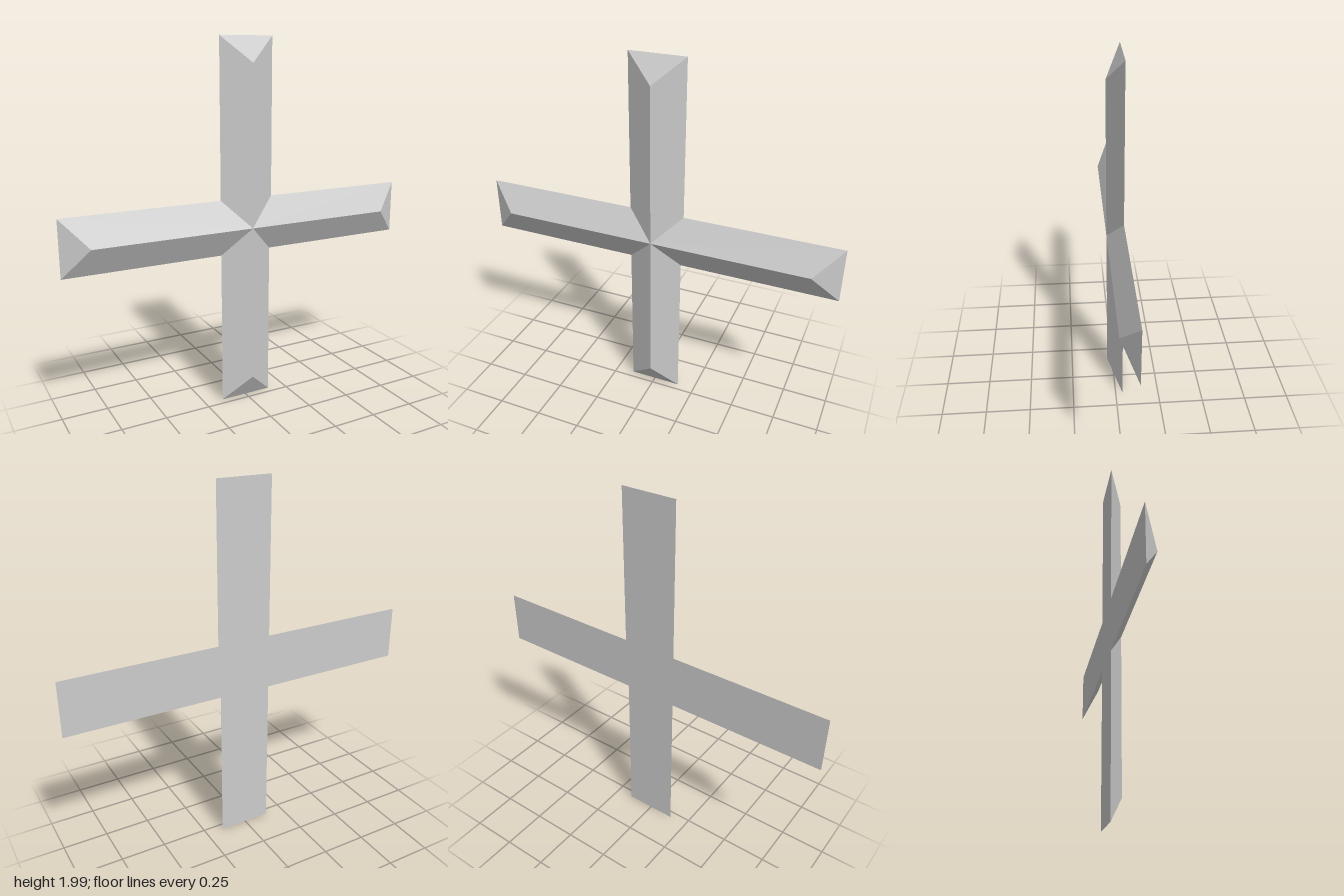
import * as THREE from 'three';

const BACK = -0.04, FRONT = 0.04;

// Flat-faced geometry from convex polygons, each fanned into triangles
function facets(polygons) {
  const points = [];
  for (const p of polygons) {
    for (let i = 1; i < p.length - 1; i++) points.push(...p[0], ...p[i], ...p[i + 1]);
  }
  const geometry = new THREE.BufferGeometry();
  geometry.setAttribute('position', new THREE.Float32BufferAttribute(points, 3));
  geometry.computeVertexNormals();
  return geometry;
}

export function createModel() {
  const group = new THREE.Group();
  group.name = 'bevelledCross';
  const grey = new THREE.MeshStandardMaterial({ color: 0xcccccc });
  grey.name = 'light grey';

  const centre = [0.005, 1, FRONT];

  // Corners where neighbouring arms meet, clockwise from upper left
  const inner = [[-0.145, 1.15], [0.16, 1.15], [0.15, 0.855], [-0.145, 0.85]]
    .map(([x, y]) => [x, y, BACK]);

  // Each arm: two outer corners (clockwise) and the end of its ridge
  const arms = [
    { name: 'topArm', outer: [[-0.145, 1.99], [0.16, 1.99]], ridge: [0.005, 1.855] },
    { name: 'leftArm', outer: [[1, 1.15], [1, 0.855]], ridge: [0.86, 1] },
    { name: 'bottomArm', outer: [[0.15, 0], [-0.145, 0]], ridge: [0.005, 0.14] },
    { name: 'rightArm', outer: [[-1, 0.85], [-1, 1.15]], ridge: [-0.865, 1] },
  ];

  const add = (name, polygons) => {
    const mesh = new THREE.Mesh(facets(polygons), grey);
    mesh.name = name;
    group.add(mesh);
  };

  arms.forEach(({ name, outer, ridge }, i) => {
    const a = inner[i], b = inner[(i + 1) % 4];
    const [c, d] = outer.map(([x, y]) => [x, y, BACK]);
    const r = [...ridge, FRONT];
    add(name, [
      [centre, r, c, a], // first slope
      [centre, b, d, r], // second slope
      [r, d, c],         // bevelled end
      [a, c, d, b],      // flat back
    ]);
  });

  // Flat back of the crossing
  add('crossingBack', [inner]);

  return group;
}
